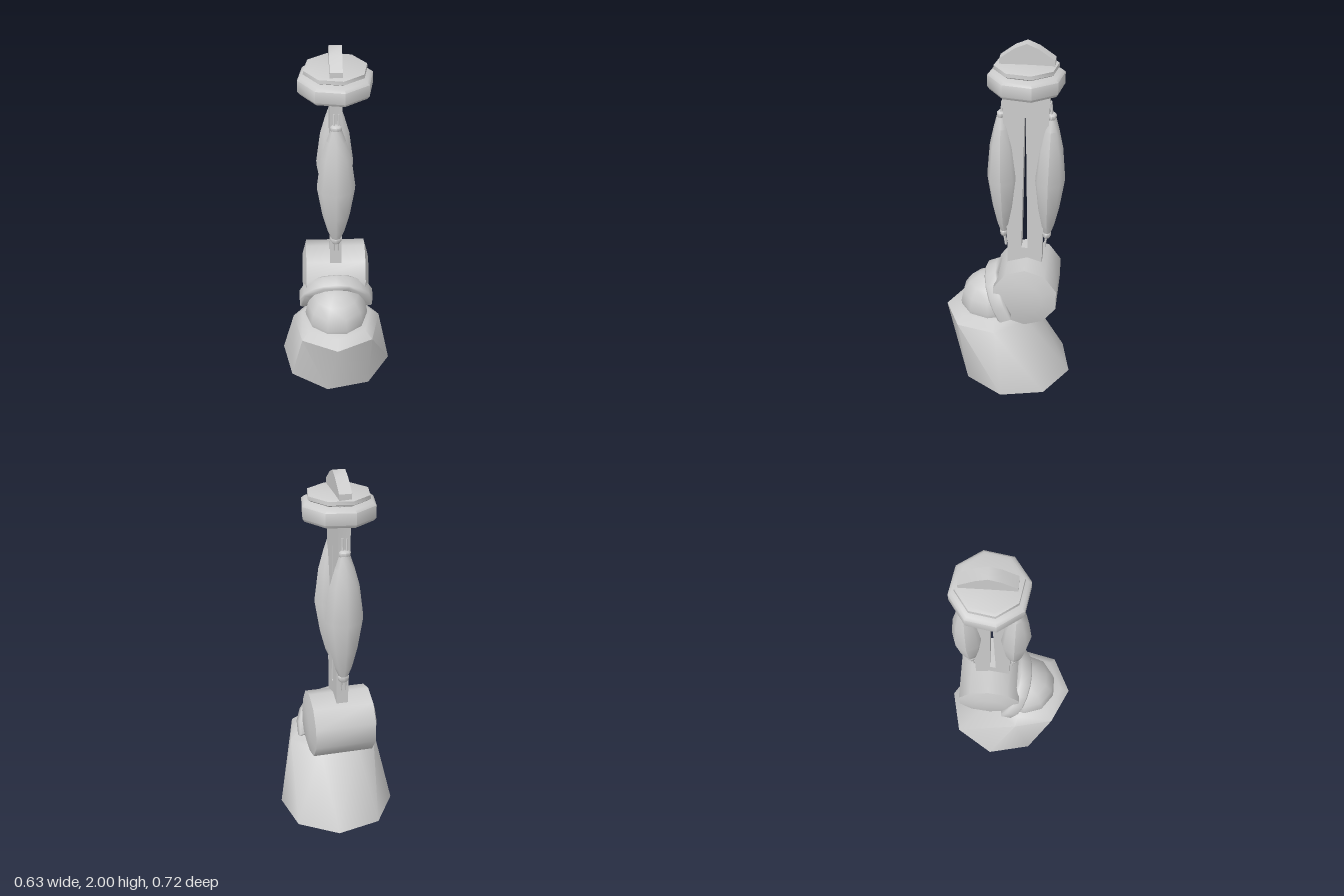
import * as THREE from 'three';
import { toCreasedNormals } from 'three/addons/utils/BufferGeometryUtils.js';
import { ConvexGeometry } from 'three/addons/geometries/ConvexGeometry.js';

export function createModel() {
  const model = new THREE.Group();
  const grey = new THREE.MeshStandardMaterial({ color: 0xcccccc });
  grey.name = 'light grey';

  const rad = THREE.MathUtils.degToRad;
  const add = (name, geometry, parent = model, crease = 0.9) => {
    const mesh = new THREE.Mesh(toCreasedNormals(geometry, crease), grey);
    mesh.name = name;
    parent.add(mesh);
    return mesh;
  };
  const lathe = (profile, sides, start = 0) =>
    new THREE.LatheGeometry(profile.map(([r, y]) => new THREE.Vector2(r, y)), sides, rad(start));
  const ring = (sides, radius, y, z, start) =>
    Array.from({ length: sides }, (_, i) => {
      const a = rad(start) + (i / sides) * Math.PI * 2;
      return new THREE.Vector3(Math.cos(a) * radius, y, z + Math.sin(a) * radius);
    });

  // Sloping foot: wide octagon below, smaller heptagon pushed forward above
  add('base', new ConvexGeometry([
    ...ring(8, 0.32, 0.005, -0.045, 10),
    ...ring(7, 0.25, 0.39, 0.11, 90),
    ...ring(7, 0.2, 0.432, 0.11, 90),
  ]));

  // Ball joint sitting on the foot
  const ball = new THREE.SphereGeometry(0.175, 10, 8);
  ball.translate(0, 0.455, 0.1);
  add('ballJoint', ball);

  // Arched collar over the ball
  const arch = new THREE.Shape();
  arch.absarc(0, 0, 0.2, rad(-10), rad(190), false);
  arch.absarc(0, 0, 0.14, rad(190), rad(-10), true);
  const collar = new THREE.ExtrudeGeometry(arch, {
    depth: 0.06, curveSegments: 5, bevelThickness: 0.01, bevelSize: 0.01, bevelSegments: 1,
  });
  collar.translate(0, 0, -0.03);
  collar.rotateX(0.42);
  collar.translate(0, 0.49, 0.015);
  add('ballCollar', collar);

  // Horizontal drum with slightly domed ends
  const drum = lathe([[0, -0.19], [0.1, -0.188], [0.181, -0.165],
    [0.181, 0.165], [0.1, 0.186], [0, 0.188]], 10, 18);
  drum.rotateZ(-Math.PI / 2);
  drum.translate(0, 0.587, -0.105);
  add('hipDrum', drum);

  // Flat upright blade with a tapered slot and a pointed top
  const blade = new THREE.Shape([[-0.005, 0.73], [0.185, 0.73], [0.185, 0.85], [0.2, 1.3],
    [0.21, 1.76], [0.23, 1.87], [0.23, 1.92], [0.15, 1.975], [0.09, 2], [0.03, 1.975],
    [-0.045, 1.92], [-0.045, 1.87], [-0.03, 1.76], [-0.02, 1.3], [-0.005, 0.85]]
    .map(([x, y]) => new THREE.Vector2(x, y)));
  blade.holes.push(new THREE.Path([[0.072, 0.83], [0.082, 1.61], [0.089, 1.61], [0.105, 0.83]]
    .map(([x, y]) => new THREE.Vector2(x, y))));
  const post = new THREE.ExtrudeGeometry(blade, { depth: 0.064, bevelEnabled: false });
  post.translate(0, 0, -0.032);
  post.rotateY(Math.PI / 2);
  add('post', post);

  // Octagonal head disc with a stepped lid
  const head = lathe([[0, 1.762], [0.185, 1.762], [0.195, 1.777], [0.195, 1.838], [0.18, 1.85],
    [0.148, 1.858], [0.165, 1.868], [0.163, 1.887], [0.145, 1.893], [0, 1.895]], 8, 13);
  head.translate(0, 0, -0.087);
  add('headDisc', head);

  // Spindle-shaped muscles with end caps and pronged tendons, in front and behind
  for (const side of [1, -1]) {
    const muscle = new THREE.Group();
    muscle.name = side > 0 ? 'frontMuscle' : 'backMuscle';
    muscle.position.set(0, 1.26, -0.09 + side * 0.123);
    muscle.rotation.x = side * 0.018;
    model.add(muscle);

    const belly = lathe([[0, -0.34], [0.025, -0.34], [0.045, -0.29], [0.073, -0.18], [0.1, -0.01],
      [0.1, 0.01], [0.078, 0.18], [0.05, 0.28], [0.028, 0.345], [0, 0.345]], 8);
    belly.scale(1, 1, 0.82);
    add('belly', belly, muscle);

    for (const end of [1, -1]) {
      const cap = lathe([[0, -0.02], [0.022, -0.02], [0.03, -0.008], [0.03, 0.012],
        [0.02, 0.02], [0, 0.02]], 8);
      cap.scale(1, 1, 0.75);
      cap.translate(0, end * 0.35, 0);
      add('endCap', cap, muscle);
      for (const x of [-0.011, 0.011]) {
        const tendon = new THREE.CylinderGeometry(0.006, 0.006, 0.09, 6);
        tendon.rotateX(-side * end * 0.12);
        tendon.translate(x, end * 0.385, -side * 0.004);
        add('tendon', tendon, muscle);
      }
    }
  }
  return model;
}
